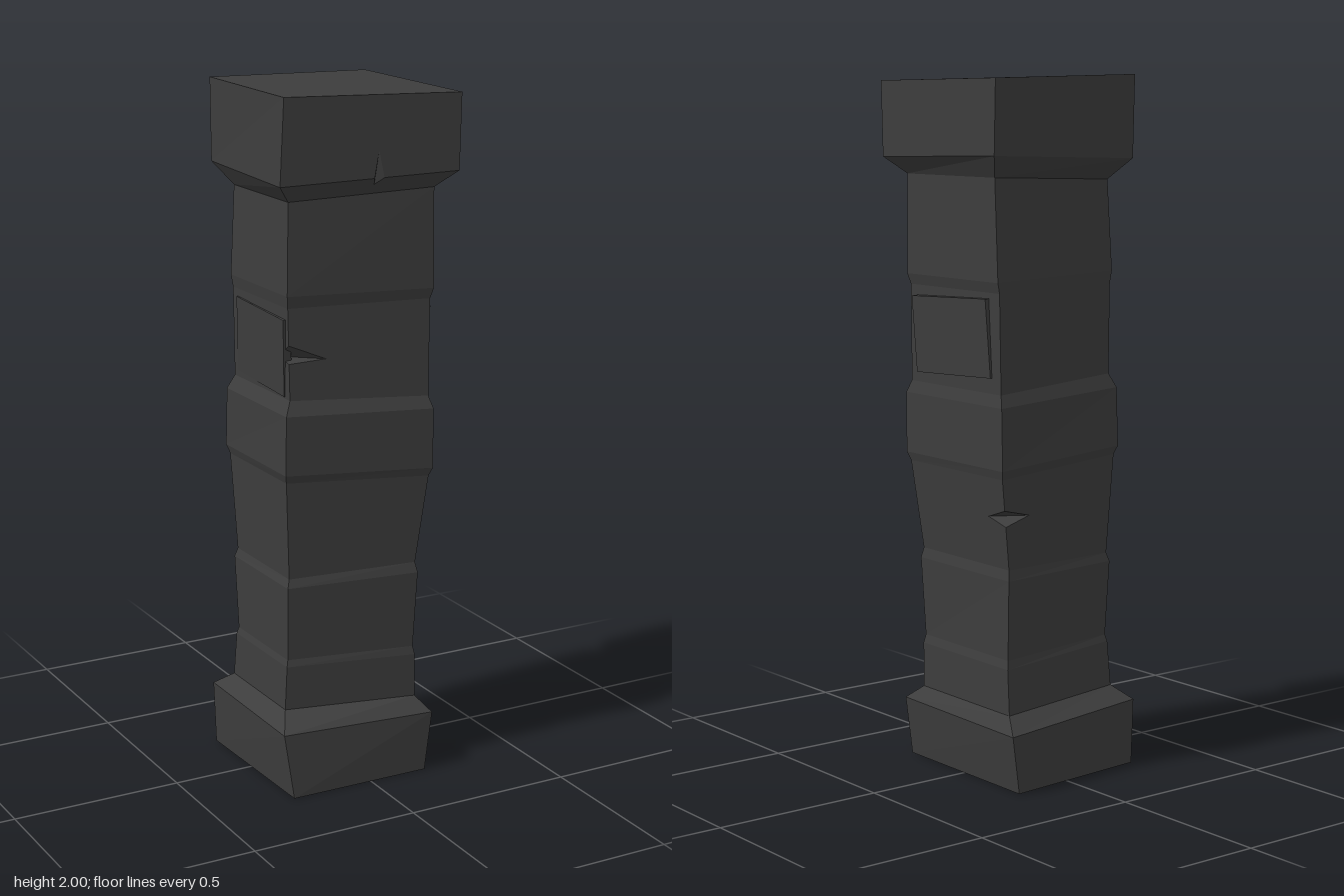
import * as THREE from 'three';

const V = (x, y, z) => new THREE.Vector3(x, y, z);
const mix = (a, b, t) => a.clone().lerp(b, t);

// Shaft ring from left/right heights and extents, narrower in depth on its -x side;
// corners run front-left, front-right, back-right, back-left
const ring = ([yL, yR, xL, xR, zB, zF]) => [
  V(xL, yL, zF - 0.052), V(xR, yR, zF), V(xR + 0.01, yR, zB), V(xL - 0.003, yL, zB + 0.047),
];

// Four-sided loft. A notch is a chip cut into the edge shared by two faces:
// sides: two of [segment, face, edge, depth]; t: start, end and tip along the first face's edge.
function loft(rings, notches = []) {
  const pos = [];
  const tri = (...pts) => pts.forEach((p) => pos.push(p.x, p.y, p.z));
  const quadAt = (s, i) => {
    const j = (i + 1) % 4;
    return [rings[s][i], rings[s][j], rings[s + 1][j], rings[s + 1][i]];
  };
  const cut = new Set();
  for (const { sides, t } of notches) {
    const tips = [];
    let hole;
    sides.forEach(([s, f, k, depth], n) => {
      const q = quadAt(s, f);
      const c = [0, 1, 2, 3].map((m) => q[(k + m) % 4]);
      const [t0, t1, tt] = n ? [1 - t[1], 1 - t[0], 1 - t[2]] : t;
      const p0 = mix(c[0], c[1], t0), p1 = mix(c[0], c[1], t1);
      const tip = mix(mix(c[0], c[1], tt), mix(c[3], c[2], tt), depth);
      const chain = [p1, c[1], c[2], c[3], c[0], p0];
      for (let m = 0; m < 5; m++) tri(tip, chain[m], chain[m + 1]);
      tips.push(tip);
      hole = hole || [p0, p1];
      cut.add(s * 4 + f);
    });
    tri(hole[1], tips[0], tips[1]);
    tri(tips[0], hole[0], tips[1]);
  }
  for (let s = 0; s < rings.length - 1; s++) {
    for (let i = 0; i < 4; i++) {
      if (cut.has(s * 4 + i)) continue;
      const [a, b, c, d] = quadAt(s, i);
      tri(a, b, c);
      tri(a, c, d);
    }
  }
  // End faces
  const [a, b, c, d] = rings[0], [e, f, g, h] = rings[rings.length - 1];
  tri(a, c, b); tri(a, d, c);
  tri(e, f, g); tri(e, g, h);
  const geo = new THREE.BufferGeometry();
  geo.setAttribute('position', new THREE.Float32BufferAttribute(pos, 3));
  geo.computeVertexNormals();
  return geo;
}

export function createModel() {
  const group = new THREE.Group();
  const stone = new THREE.MeshStandardMaterial({ color: 0x3d3d3d });
  stone.name = 'darkStone';
  const add = (name, geo) => {
    const mesh = new THREE.Mesh(geo, stone);
    mesh.name = name;
    group.add(mesh);
    return mesh;
  };

  // Plinth with a sloped shoulder
  const shaftFoot = ring([0.23, 0.215, -0.225, 0.175, -0.215, 0.207]);
  add('base', loft([
    [V(-0.25, 0, 0.257), V(0.18, 0, 0.26), V(0.185, 0, -0.26), V(-0.265, 0, -0.22)],
    [V(-0.272, 0.19, 0.24), V(0.205, 0.175, 0.258), V(0.215, 0.17, -0.27), V(-0.272, 0.19, -0.22)],
    shaftFoot,
  ]));

  // Shaft with shallow bands and two chipped corners
  const shaftHead = ring([1.705, 1.72, -0.215, 0.213, -0.2, 0.22]);
  add('shaft', loft([
    shaftFoot,
    ...[
      [0.36, 0.345, -0.22, 0.173, -0.205, 0.21],
      [0.38, 0.37, -0.215, 0.168, -0.2, 0.205],
      [0.6, 0.6, -0.22, 0.175, -0.213, 0.218],
      [0.625, 0.63, -0.212, 0.17, -0.207, 0.21],
      [0.915, 0.89, -0.227, 0.203, -0.22, 0.225],
      [0.94, 0.915, -0.235, 0.21, -0.23, 0.237],
      [1.11, 1.09, -0.232, 0.21, -0.226, 0.237],
      [1.15, 1.125, -0.212, 0.202, -0.213, 0.22],
      [1.41, 1.405, -0.215, 0.207, -0.213, 0.215],
      [1.445, 1.435, -0.22, 0.215, -0.216, 0.222],
    ].map(ring),
    shaftHead,
  ], [
    { sides: [[8, 0, 3, 0.26], [8, 3, 1, 0.18]], t: [0.4, 0.6, 0.56] },
    { sides: [[4, 1, 1, 0.18], [4, 2, 3, 0.22]], t: [0.48, 0.66, 0.56] },
  ]));

  // Capital with a sloped underside and a small crack in front
  add('capital', loft([
    shaftHead,
    [V(-0.26, 1.755, 0.208), V(0.265, 1.768, 0.267), V(0.258, 1.78, -0.243), V(-0.255, 1.765, -0.22)],
    [V(-0.25, 1.995, 0.213), V(0.27, 1.983, 0.267), V(0.256, 1.988, -0.246), V(-0.252, 2, -0.23)],
  ], [
    { sides: [[1, 0, 0, 0.33], [0, 0, 2, 0.4]], t: [0.52, 0.575, 0.54] },
  ]));

  // Raised side panels: centre, depth and outward lean
  for (const [name, x, z, depth, lean] of [
    ['leftPanel', 0.211, 0.005, 0.345, -0.05],
    ['rightPanel', -0.207, 0.002, 0.285, 0.03],
  ]) {
    const panel = add(name, new THREE.BoxGeometry(0.024, 0.22, depth));
    panel.position.set(x, 1.272, z);
    panel.rotation.set(0.04, 0, lean);
  }
  return group;
}
